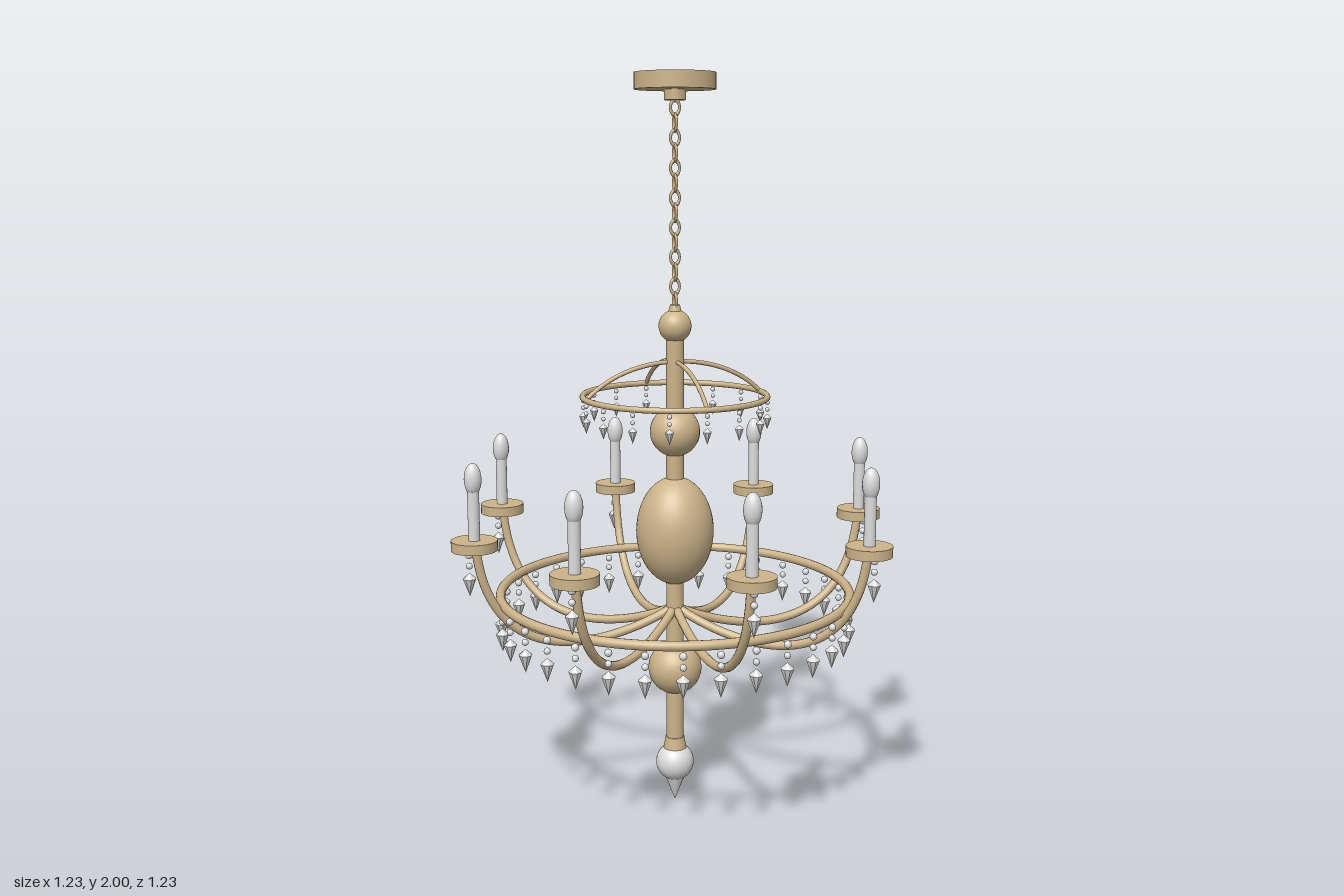
import * as THREE from 'three';
import { mergeGeometries } from 'three/addons/utils/BufferGeometryUtils.js';

export function createModel() {
  const model = new THREE.Group();
  model.name = 'chandelier';
  const brass = new THREE.MeshStandardMaterial({ name: 'pale brass', color: 0xccb38a });
  const glass = new THREE.MeshStandardMaterial({ name: 'clear glass', color: 0xdcdcdc });

  const add = (name, geometry, material, x = 0, y = 0, z = 0, parent = model) => {
    const mesh = new THREE.Mesh(geometry, material);
    mesh.name = name;
    mesh.position.set(x, y, z);
    parent.add(mesh);
    return mesh;
  };
  const cylinder = (rTop, rBottom, yBottom, yTop, sides = 32) =>
    new THREE.CylinderGeometry(rTop, rBottom, yTop - yBottom, sides).translate(0, (yTop + yBottom) / 2, 0);
  const ball = (r, ry = r, sides = 32) =>
    new THREE.SphereGeometry(r, sides, Math.round(sides * 0.6)).scale(1, ry / r, 1);

  // Ceiling canopy and its neck
  add('canopy', cylinder(0.107, 0.107, 1.957, 2, 48), brass);
  add('canopyNeck', cylinder(0.029, 0.029, 1.93, 1.957), brass);

  // Chain of links, each turned a quarter from the last
  const chain = new THREE.Group();
  chain.name = 'chain';
  model.add(chain);
  const link = new THREE.TorusGeometry(0.0125, 0.004, 8, 20).scale(1, 1.5, 1);
  const links = 14;
  for (let i = 0; i < links; i++) {
    const mesh = add('chainLink', link, brass, 0, 1.912 - i * 0.0385, 0, chain);
    mesh.rotation.y = (i % 2) * Math.PI / 2;
  }

  // Central column with turned balls
  add('stem', cylinder(0.024, 0.024, 0.17, 1.36), brass);
  add('stemCap', cylinder(0.013, 0.02, 1.375, 1.402), brass);
  add('topBall', ball(0.044), brass, 0, 1.345);
  add('upperBall', ball(0.068), brass, 0, 1.06);
  add('bodyBulb', ball(0.106, 0.15, 40), brass, 0, 0.785);
  add('lowerBall', ball(0.074), brass, 0, 0.393);
  add('stemCollar', cylinder(0.026, 0.032, 0.157, 0.19), brass);
  add('finialBall', ball(0.053), glass, 0, 0.115);
  add('finialTip', cylinder(0.028, 0, 0, 0.072, 16), glass);

  // Rings
  const ring = (name, r, tube, y) =>
    add(name, new THREE.TorusGeometry(r, tube, 12, 96).rotateX(Math.PI / 2), brass, 0, y);
  ring('mainRing', 0.478, 0.013, 0.615);
  ring('crownRing', 0.248, 0.008, 1.157);

  // Arched ribs carrying the crown ring
  const rib = new THREE.TubeGeometry(new THREE.CubicBezierCurve3(
    new THREE.Vector3(0.248, 1.157, 0), new THREE.Vector3(0.19, 1.217, 0),
    new THREE.Vector3(0.1, 1.25, 0), new THREE.Vector3(0, 1.25, 0)), 24, 0.006, 8);
  for (let i = 0; i < 4; i++) add('crownRib', rib, brass).rotation.y = i * Math.PI / 2;

  // Hanging pendant: two beads and a faceted drop, origin at the top
  const pendant = (s) => {
    const drop = new THREE.LatheGeometry([
      new THREE.Vector2(0, -0.064), new THREE.Vector2(0.018, -0.016), new THREE.Vector2(0, 0),
    ], 8).toNonIndexed();
    drop.computeVertexNormals();
    drop.translate(0, -0.06, 0);
    const beads = [[0.01, -0.013], [0.009, -0.042]].map(([r, y]) =>
      new THREE.SphereGeometry(r, 12, 8).toNonIndexed().translate(0, y, 0));
    return mergeGeometries([...beads, drop]).scale(s, s, s);
  };
  const largePendant = pendant(1);
  const smallPendant = pendant(0.66);
  const pendantRow = (name, geometry, count, r, y, shift) => {
    const row = new THREE.Group();
    row.name = name + 'Row';
    model.add(row);
    for (let i = 0; i < count; i++) {
      const a = (i + shift) / count * Math.PI * 2;
      add(name, geometry, glass, r * Math.cos(a), y, r * Math.sin(a), row);
    }
  };
  pendantRow('mainPendant', largePendant, 32, 0.478, 0.601, 0.5);
  pendantRow('crownPendant', smallPendant, 16, 0.248, 1.15, 0);

  // Eight curved arms with pan, candle, bulb and pendant
  const armTube = new THREE.TubeGeometry(new THREE.CubicBezierCurve3(
    new THREE.Vector3(0.01, 0.565, 0), new THREE.Vector3(0.2, 0.47, 0),
    new THREE.Vector3(0.52, 0.428, 0), new THREE.Vector3(0.552, 0.785, 0)), 40, 0.012, 10);
  const pan = cylinder(0.061, 0.061, 0.778, 0.805);
  const candle = cylinder(0.0155, 0.0155, 0.805, 0.935, 20);
  const bulb = ball(0.023, 0.043, 20);
  for (let i = 0; i < 8; i++) {
    const arm = new THREE.Group();
    arm.name = 'arm';
    arm.rotation.y = i * Math.PI / 4;
    model.add(arm);
    add('armTube', armTube, brass, 0, 0, 0, arm);
    add('dripPan', pan, brass, 0.555, 0, 0, arm);
    add('candle', candle, glass, 0.555, 0, 0, arm);
    add('bulb', bulb, glass, 0.555, 0.967, 0, arm);
    add('panPendant', largePendant, glass, 0.57, 0.778, 0, arm);
  }
  return model;
}
